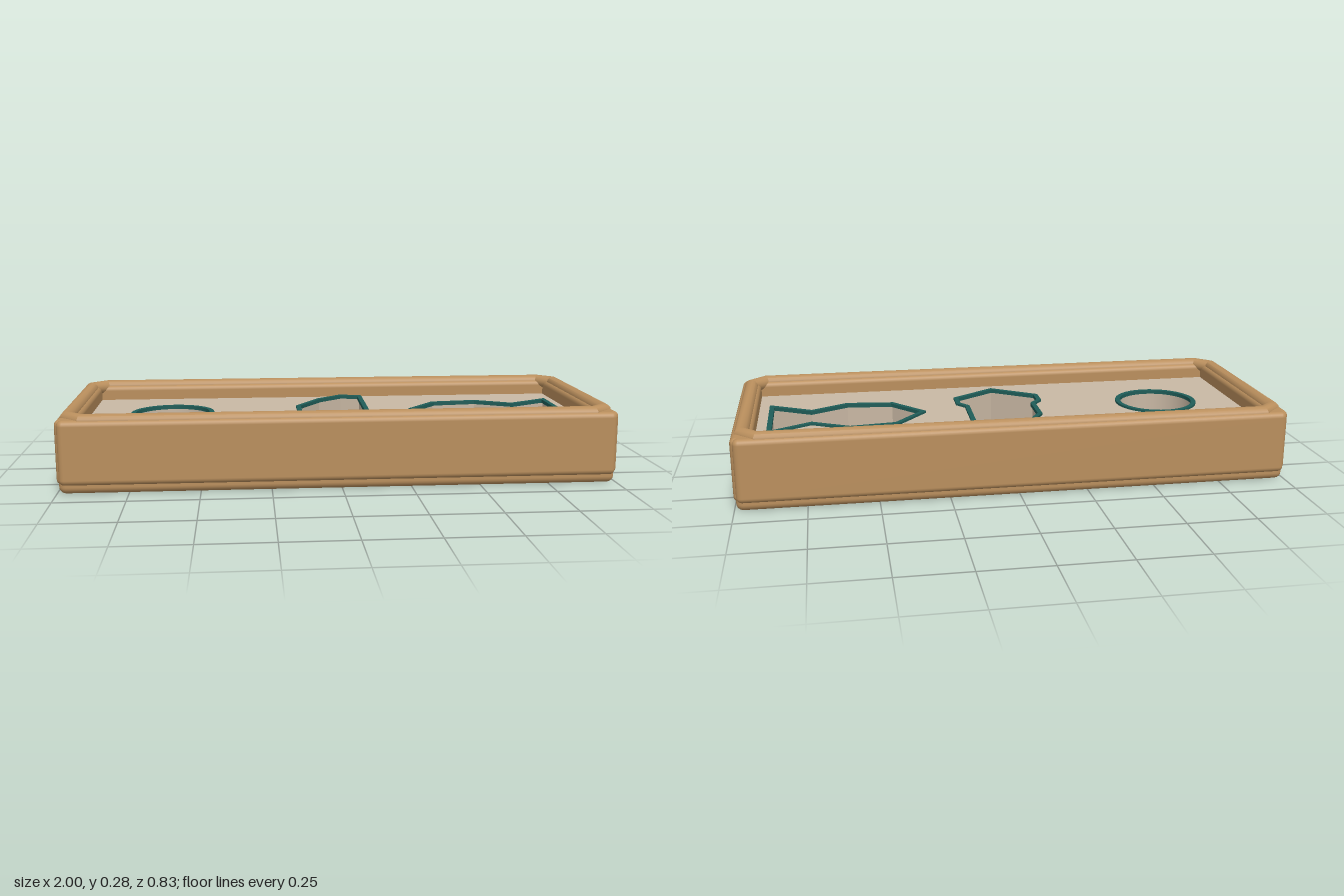
import * as THREE from 'three';
import { toCreasedNormals } from 'three/addons/utils/BufferGeometryUtils.js';
import { RoundedBoxGeometry } from 'three/addons/geometries/RoundedBoxGeometry.js';

const mat = (name, color) => {
  const m = new THREE.MeshStandardMaterial({ color });
  m.name = name;
  return m;
};

// Sweeps a closed profile of [outward, y] points round a closed [x, z] path with mitred corners
function sweepRing(path, profile) {
  const n = path.length, k = profile.length, pos = [], index = [];
  const normal = (a, b) => new THREE.Vector2(b[1] - a[1], a[0] - b[0]).normalize();
  path.forEach((p, i) => {
    const n1 = normal(path[(i + n - 1) % n], p), n2 = normal(p, path[(i + 1) % n]);
    const m = n1.clone().add(n2).divideScalar(1 + n1.dot(n2));
    for (const [o, y] of profile) pos.push(p[0] + m.x * o, y, p[1] + m.y * o);
    for (let j = 0; j < k; j++) {
      const a = i * k + j, b = i * k + (j + 1) % k, q = ((i + 1) % n) * k;
      index.push(a, b, q + (j + 1) % k, a, q + (j + 1) % k, q + j);
    }
  });
  const g = new THREE.BufferGeometry();
  g.setAttribute('position', new THREE.Float32BufferAttribute(pos, 3));
  g.setIndex(index);
  return toCreasedNormals(g, 0.6);
}

const circlePoints = (count, cx, cy, r) => Array.from({ length: count }, (_, i) => {
  const a = i / count * Math.PI * 2;
  return [cx + r * Math.cos(a), cy + r * Math.sin(a)];
});

export function createModel() {
  const group = new THREE.Group();
  const wood = mat('wood', 0xba8f5d);
  const lining = mat('lining', 0xc9b8a4);
  const teal = mat('teal', 0x1f5d58);
  const add = (name, geometry, material, x = 0, y = 0, z = 0) => {
    const mesh = new THREE.Mesh(geometry, material);
    mesh.name = name;
    mesh.position.set(x, y, z);
    group.add(mesh);
  };

  // Tray base and four rounded side boards
  add('base', new RoundedBoxGeometry(1.985, 0.07, 0.8, 3, 0.025), wood, 0, 0.035, 0);
  for (const s of [1, -1]) {
    add(s > 0 ? 'frontBoard' : 'backBoard',
      new RoundedBoxGeometry(1.98, 0.23, 0.073, 3, 0.02), wood, 0, 0.147, s * 0.3765);
    add(s > 0 ? 'leftBoard' : 'rightBoard',
      new RoundedBoxGeometry(0.073, 0.23, 0.79, 3, 0.02), wood, s * 0.9635, 0.147, 0);
  }

  // Rounded bead along the rim, cut across at the corners
  const X = 0.963, Z = 0.377, c = 0.055;
  const rim = [[-X + c, -Z], [X - c, -Z], [X, -Z + c], [X, Z - c],
    [X - c, Z], [-X + c, Z], [-X, Z - c], [-X, -Z + c]];
  add('rimBead', sweepRing(rim, circlePoints(14, 0, 0.255, 0.026)), wood);

  // Cut-out outlines as [x, z], running clockwise from above
  const cutouts = {
    circle: circlePoints(48, -0.617, 0, 0.149),
    pointed: [[0.06, -0.333], [0.135, -0.309], [0.13, 0.045], [0.16, 0.085], [0.16, 0.162],
      [0, 0.272], [-0.163, 0.158], [-0.163, 0.085], [-0.13, 0.042], [-0.13, -0.1], [-0.038, -0.25]],
    fish: [[0.307, 0], [0.416, -0.135], [0.59, -0.156], [0.728, -0.08], [0.88, -0.168],
      [0.88, 0.162], [0.728, 0.075], [0.59, 0.151], [0.416, 0.131]],
  };

  // Thick insert with the cut-outs, over a floor
  const top = 0.205, floor = 0.07;
  const shape = new THREE.Shape([[-0.93, -0.342], [0.93, -0.342], [0.93, 0.342], [-0.93, 0.342]]
    .map(p => new THREE.Vector2(...p)));
  for (const points of Object.values(cutouts)) {
    shape.holes.push(new THREE.Path(points.map(p => new THREE.Vector2(...p))));
  }
  const insert = new THREE.ExtrudeGeometry(shape, { depth: top - floor, bevelEnabled: false });
  insert.rotateX(Math.PI / 2);
  add('insert', toCreasedNormals(insert, 0.3), lining, 0, top, 0);
  add('insertFloor', new THREE.BoxGeometry(1.86, 0.02, 0.684), lining, 0, floor - 0.009, 0);

  // Thin raised edging round each cut-out
  const w = 0.009;
  const edging = [[-w, top - 0.006], [w, top - 0.006], [w, top + 0.008], [-w, top + 0.008]];
  for (const [name, points] of Object.entries(cutouts)) {
    add(name + 'Edging', sweepRing(points, edging), teal);
  }
  return group;
}
